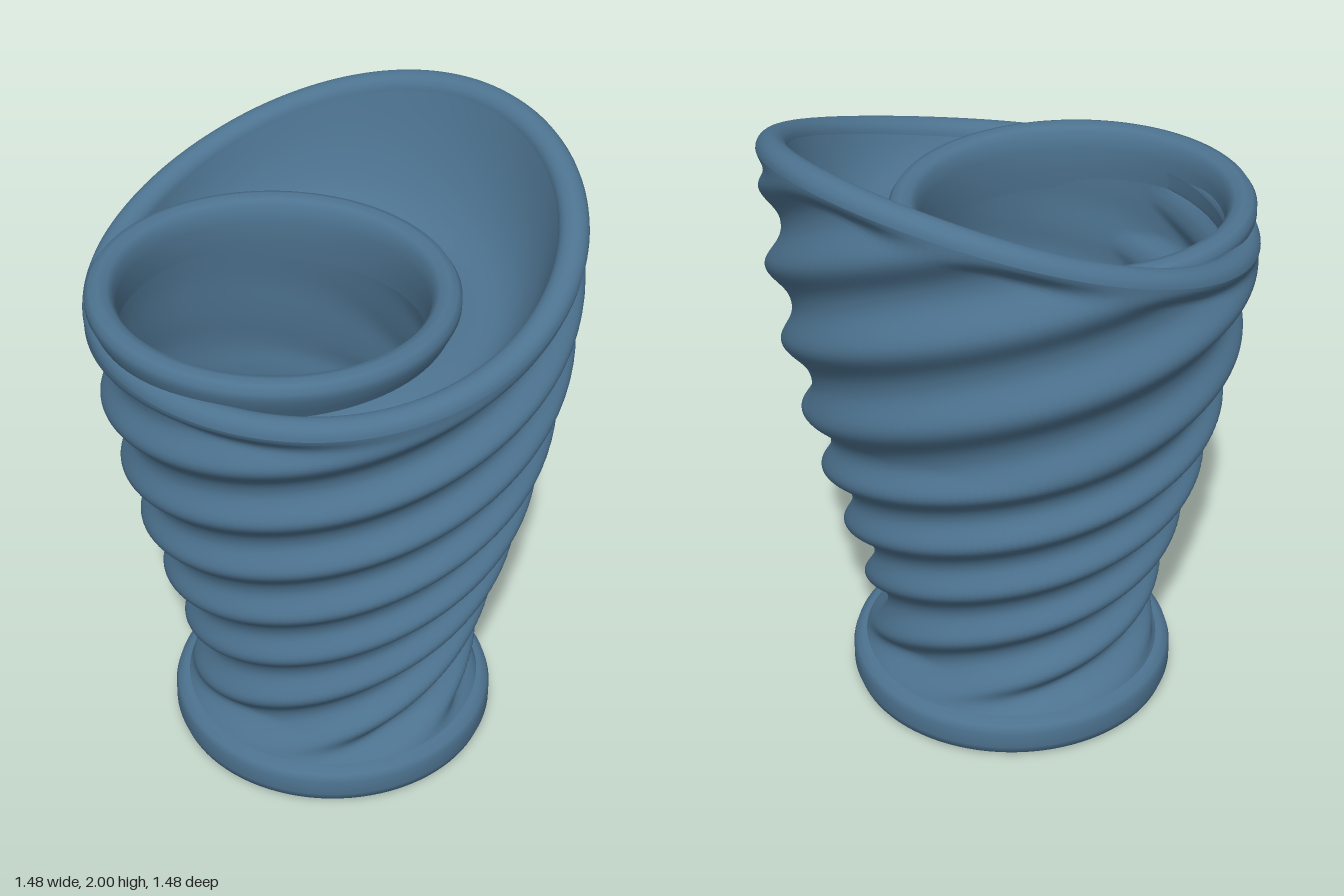
import * as THREE from 'three';

const glaze = new THREE.MeshStandardMaterial({ color: 0x4d7390, side: THREE.DoubleSide });

// Ridge radius by height
const envelope = new THREE.SplineCurve([
  [0.1, 0.49], [0.2, 0.46], [0.4, 0.478], [0.6, 0.533], [0.8, 0.592], [1.0, 0.642],
  [1.25, 0.695], [1.5, 0.732], [1.75, 0.738], [2.0, 0.74],
].map(([y, r]) => new THREE.Vector2(y, r))).getPoints(200);

function ridgeRadius(y) {
  const i = envelope.findIndex((p) => p.x >= y);
  if (i < 0) return envelope[envelope.length - 1].y;
  if (i === 0) return envelope[0].y;
  const a = envelope[i - 1], b = envelope[i];
  return THREE.MathUtils.lerp(a.y, b.y, (y - a.x) / (b.x - a.x));
}

// Rim sweeping up to a peak at the back left; angle 0 is the front, growing to +x
const rimHeight = (phi) =>
  1.605 + 0.395 * Math.pow(0.5 + 0.5 * Math.cos(phi - 2.46), 1.7);

// Five helical ridges, tilted like the rim and spreading out towards its
// high side; 0 on a crest, 1 in a valley
function groove(phi, y) {
  const c = Math.cos(phi);
  const spread = 0.28 * (0.5 - 0.45 * c) * Math.max(0, y - 1.1);
  const level = y - 1.05 - 0.055 * (1 - c) - 0.02 * Math.sin(phi) - spread;
  const phase = (2 * Math.PI * level) / 0.212 - 5 * phi;
  return 1 - Math.pow(0.5 + 0.5 * Math.cos(phase), 1.25);
}

// Closed sheet around the y axis: profile(phi, t) returns [radius, height]
function sweep(profile, around, along) {
  const pos = [], index = [];
  for (let i = 0; i < around; i++) {
    const phi = (i / around) * Math.PI * 2;
    for (let j = 0; j <= along; j++) {
      const [r, y] = profile(phi, j / along);
      pos.push(r * Math.sin(phi), y, r * Math.cos(phi));
    }
  }
  const n = along + 1;
  for (let i = 0; i < around; i++) {
    for (let j = 0; j < along; j++) {
      const a = i * n + j, b = ((i + 1) % around) * n + j;
      index.push(a, b, a + 1, b + 1, a + 1, b);
    }
  }
  const geo = new THREE.BufferGeometry();
  geo.setAttribute('position', new THREE.Float32BufferAttribute(pos, 3));
  geo.setIndex(index);
  geo.computeVertexNormals();
  return geo;
}

const LIP = 0.045;
const ringCentre = new THREE.Vector2(-0.17, 0.09); // x, z

// Distance from the y axis to a circle around the ring's centre
function ringReach(phi, radius) {
  const s = Math.sin(phi), c = Math.cos(phi);
  const across = ringCentre.x * c - ringCentre.y * s;
  return ringCentre.x * s + ringCentre.y * c + Math.sqrt(radius * radius - across * across);
}

// Ridged outer wall, flaring into the foot and smooth at the rim
function outerWall(phi, t) {
  const top = rimHeight(phi) - LIP;
  const y = 0.11 + (top - 0.11) * t;
  const foot = THREE.MathUtils.smoothstep(y, 0.11, 0.22);
  const rim = 1 - THREE.MathUtils.smoothstep(y, top - 0.08, top);
  return [ridgeRadius(y) - 0.058 * groove(phi, y) * rim * foot, y];
}

// Rounded lip running over the tilted rim
function lip(phi, t) {
  const y = rimHeight(phi) - LIP;
  const a = Math.PI * t;
  return [ridgeRadius(y) - LIP + LIP * Math.cos(a), y + LIP * Math.sin(a)];
}

// Concave crescent shelf from the lip down to the offset ring
function shelf(phi, t) {
  const [r0, y0] = lip(phi, 1);
  const r2 = Math.min(r0 - 0.01, ringReach(phi, 0.5));
  const r1 = THREE.MathUtils.lerp(r0, r2, 0.3), y1 = Math.min(1.47, y0), y2 = 1.58;
  const u = 1 - t;
  return [u * u * r0 + 2 * u * t * r1 + t * t * r2, u * u * y0 + 2 * u * t * y1 + t * t * y2];
}

// Leaning cavity wall, from the ring down to the floor, ridged where it
// follows the outer wall
function cavity(phi, t) {
  const y = 1.52 - 1.41 * t;
  const ridged = ridgeRadius(y) - 0.065 - 0.035 * groove(phi, y) * (1 - t * t);
  const tube = THREE.MathUtils.lerp(ringReach(phi, 0.465), Math.max(ridged, 0.4), t);
  return [Math.min(ridged, tube), y];
}

const lathe = (pts) =>
  new THREE.LatheGeometry(pts.map(([r, y]) => new THREE.Vector2(r, y)), 96);

export function createModel() {
  const model = new THREE.Group();
  const add = (name, geo) => {
    const mesh = new THREE.Mesh(geo, glaze);
    mesh.name = name;
    model.add(mesh);
    return mesh;
  };

  add('outerWall', sweep(outerWall, 160, 150));
  add('rimLip', sweep(lip, 160, 12));
  add('crescentShelf', sweep(shelf, 160, 16));
  add('cavityWall', sweep(cavity, 120, 110));

  // Ring around the offset opening, a touch higher on its outer side
  const ring = add('openingRing', lathe([
    [0.47, 1.47], [0.5, 1.53], [0.53, 1.59], [0.548, 1.63], [0.548, 1.655], [0.535, 1.675],
    [0.51, 1.683], [0.482, 1.675], [0.465, 1.655], [0.458, 1.61], [0.46, 1.54], [0.47, 1.47],
  ]));
  ring.rotation.z = -0.02;
  ring.position.set(ringCentre.x - 0.033, 0, ringCentre.y);

  // Round foot with softened edges, its top forming the cavity floor
  add('foot', lathe([
    [0, 0], [0.49, 0], [0.49, 0], [0.51, 0.012], [0.52, 0.04], [0.52, 0.09], [0.512, 0.115],
    [0.49, 0.128], [0.44, 0.13], [0.44, 0.13], [0, 0.13],
  ]));

  return model;
}
